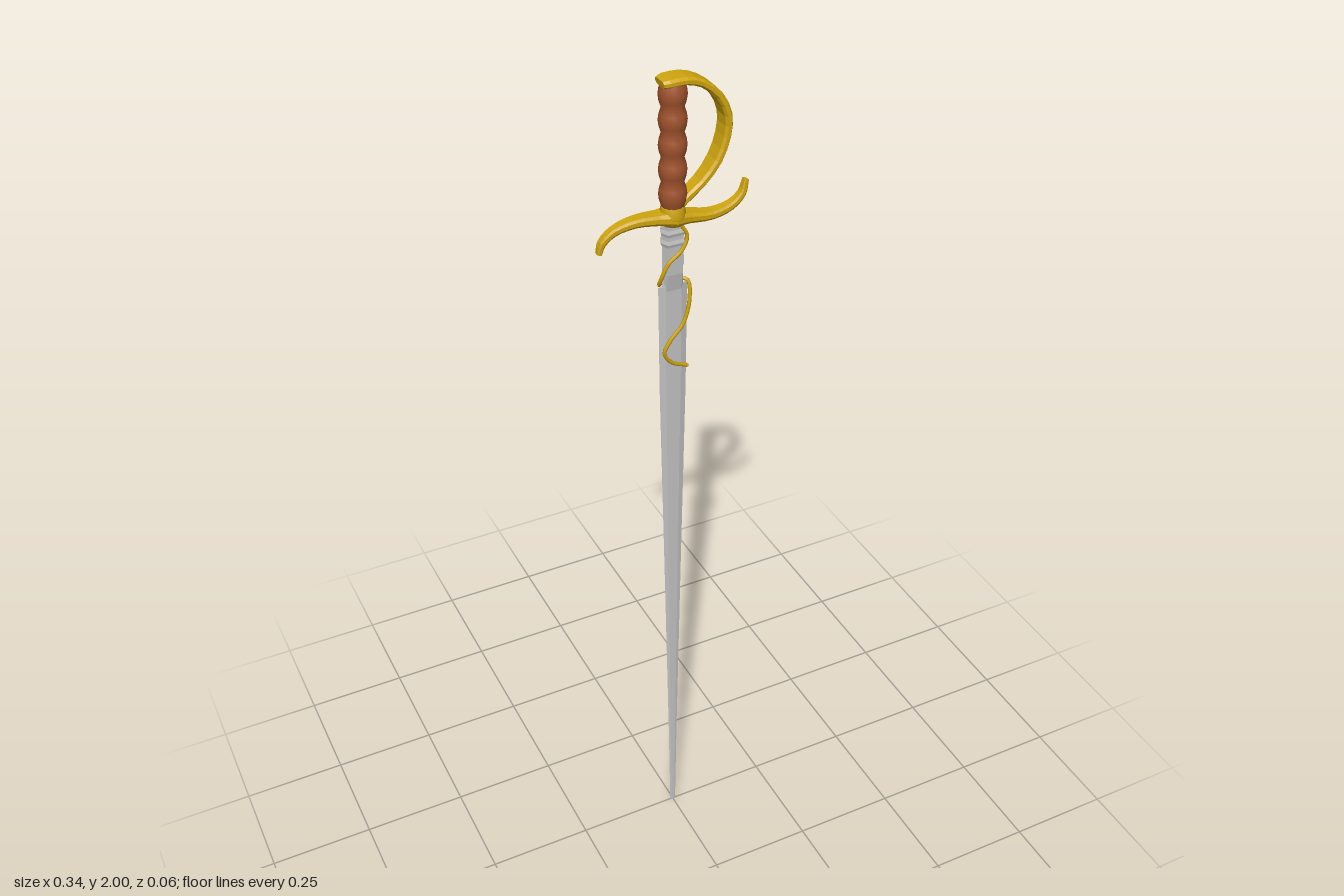
import * as THREE from 'three';

const gold = new THREE.MeshStandardMaterial({ color: 0xcfa50f });
gold.name = 'gold';
const steel = new THREE.MeshStandardMaterial({ color: 0xc0c0c0 });
steel.name = 'steel';
const leather = new THREE.MeshStandardMaterial({ color: 0xa0522d });
leather.name = 'leather';

// Closed skin over rings that run counter-clockwise about the direction of travel
function loft(rings, flat = true) {
  const n = rings[0].length, last = (rings.length - 1) * n, index = [];
  for (let i = 0; i < rings.length - 1; i++) {
    for (let j = 0; j < n; j++) {
      const a = i * n + j, b = i * n + (j + 1) % n;
      index.push(a, b, a + n, b, b + n, a + n);
    }
  }
  for (let j = 1; j < n - 1; j++) {
    index.push(0, j + 1, j, last, last + j, last + j + 1);
  }
  let geo = new THREE.BufferGeometry().setFromPoints(rings.flat());
  geo.setIndex(index);
  if (flat) geo = geo.toNonIndexed();
  geo.computeVertexNormals();
  return geo;
}

// Bar swept in the xy plane; each station is [x, y, half width in z, half thickness]
function sweep(stations, steps) {
  const curve = new THREE.CatmullRomCurve3(stations.map(s => new THREE.Vector3(s[0], s[1], 0)));
  const rings = [];
  for (let i = 0; i <= steps; i++) {
    const t = i / steps, f = t * (stations.length - 1);
    const k = Math.min(Math.floor(f), stations.length - 2);
    const [w, h] = [2, 3].map(c => THREE.MathUtils.lerp(stations[k][c], stations[k + 1][c], f - k));
    const p = curve.getPoint(t), d = curve.getTangent(t);
    const section = [[1, -0.75], [1, 0.75], [0.45, 1], [-0.45, 1], [-1, 0.75], [-1, -0.75], [-0.45, -1], [0.45, -1]];
    rings.push(section.map(([u, v]) => new THREE.Vector3(p.x - d.y * u * h, p.y + d.x * u * h, v * w)));
  }
  return loft(rings);
}

// Upright bar with bevelled edges; each station is [y, half width, half thickness]
function bevelled(stations, flatPart) {
  const section = [[flatPart, 1], [1, 0], [flatPart, -1], [-flatPart, -1], [-1, 0], [-flatPart, 1]];
  return loft(stations.map(([y, w, t]) => section.map(([u, v]) => new THREE.Vector3(u * w, y, v * t))));
}

export function createModel() {
  const group = new THREE.Group();
  const add = (name, geometry, material) => {
    const mesh = new THREE.Mesh(geometry, material);
    mesh.name = name;
    group.add(mesh);
    return mesh;
  };

  // Long tapering blade and the thicker block above its shoulders
  add('blade', bevelled([
    [0, 0.007, 0.0008], [0.27, 0.011, 0.0015], [0.8, 0.021, 0.0025],
    [1.3, 0.031, 0.004], [1.55, 0.033, 0.005],
  ], 0.55), steel);
  add('ricasso', bevelled([
    [1.54, 0.024, 0.006], [1.58, 0.024, 0.013], [1.65, 0.024, 0.015], [1.7, 0.024, 0.015],
  ], 0.7), steel);
  for (const y of [1.652, 1.675]) {
    add('ricassoBand', bevelled([
      [y - 0.007, 0.025, 0.016], [y, 0.027, 0.018], [y + 0.007, 0.025, 0.016],
    ], 0.7), steel);
  }

  // Beaded grip
  const profile = [];
  const beads = 5, bottom = 1.73, height = 0.26;
  for (let i = 0; i <= beads * 4; i++) {
    const bulge = Math.sin((i % 4) / 4 * Math.PI);
    profile.push(new THREE.Vector2(0.023 + 0.006 * bulge, bottom + height * i / (beads * 4)));
  }
  add('grip', new THREE.LatheGeometry(profile, 16), leather);

  // Collar between the grip and the guard
  add('collar', new THREE.LatheGeometry([
    [0, 1.69], [0.024, 1.692], [0.028, 1.71], [0.024, 1.73], [0.02, 1.745], [0, 1.745],
  ].map(([r, y]) => new THREE.Vector2(r, y)), 12), gold);

  // S-shaped crossguard
  add('crossguard', sweep([
    [-0.163, 1.66, 0.007, 0.005], [-0.155, 1.683, 0.009, 0.007], [-0.13, 1.703, 0.011, 0.008],
    [-0.085, 1.713, 0.015, 0.009], [-0.035, 1.71, 0.019, 0.011], [0, 1.706, 0.027, 0.014],
    [0.035, 1.7, 0.019, 0.011], [0.085, 1.693, 0.015, 0.009], [0.13, 1.702, 0.011, 0.008],
    [0.155, 1.723, 0.009, 0.007], [0.163, 1.752, 0.007, 0.005],
  ], 30), gold);

  // Pommel cap running into the knuckle bow
  add('knuckleBow', sweep([
    [-0.027, 1.99, 0.02, 0.007], [-0.015, 1.992, 0.026, 0.008], [0.02, 1.992, 0.026, 0.008],
    [0.055, 1.98, 0.023, 0.008], [0.092, 1.948, 0.023, 0.008], [0.112, 1.905, 0.024, 0.008],
    [0.11, 1.86, 0.024, 0.008], [0.092, 1.812, 0.023, 0.008], [0.06, 1.772, 0.02, 0.008],
    [0.02, 1.74, 0.017, 0.009], [0, 1.72, 0.015, 0.009],
  ], 20), gold);

  // Thin tendril winding round the ricasso and the top of the blade
  const tendril = new THREE.CatmullRomCurve3([
    [0.012, 1.69, 0.016], [0.024, 1.665, 0.017], [0.012, 1.636, 0.018], [-0.018, 1.61, 0.017],
    [-0.031, 1.58, 0.013], [-0.032, 1.558, 0.002], [-0.018, 1.554, -0.012], [0.015, 1.555, -0.013],
    [0.034, 1.553, -0.001], [0.034, 1.515, 0.01], [0.018, 1.46, 0.013], [-0.012, 1.425, 0.013],
    [-0.025, 1.397, 0.012], [-0.008, 1.37, 0.01], [0.03, 1.35, 0.006],
  ].map(p => new THREE.Vector3(...p)));
  add('tendril', new THREE.TubeGeometry(tendril, 70, 0.0042, 6), gold);
  for (const t of [0, 1]) {
    const end = add('tendrilEnd', new THREE.SphereGeometry(0.0045, 8, 6), gold);
    end.position.copy(tendril.getPoint(t));
  }

  return group;
}
